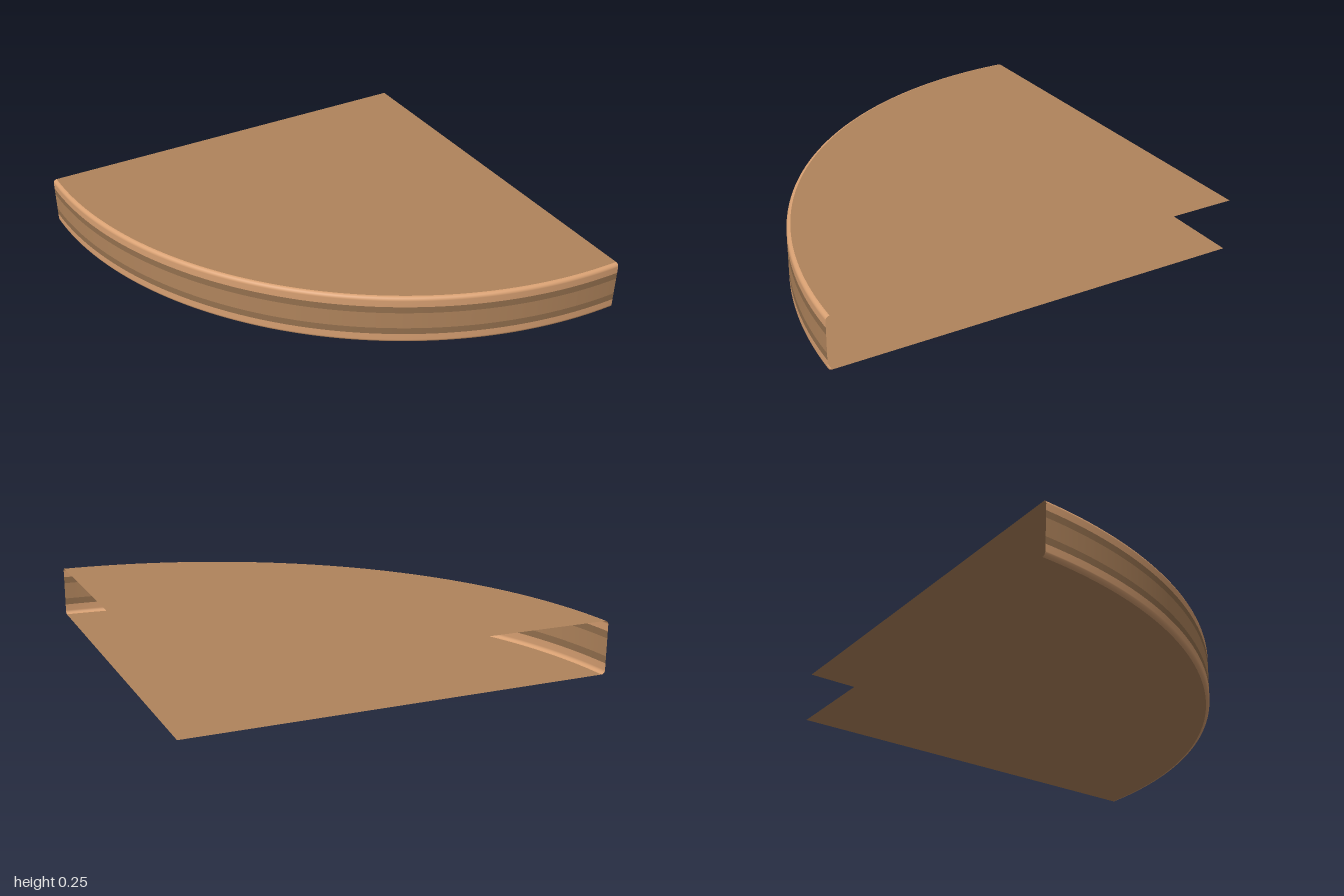
import * as THREE from 'three';

const R = 2;       // radius of the quarter disc
const H = 0.25;    // thickness
const F = 0.018;   // rounding of the rim edges

const material = (color) => new THREE.MeshStandardMaterial({ color, side: THREE.DoubleSide });
const wood = material(0xb0845c);
const lightWood = material(0xd8a072);
const darkWood = material(0x94704e);

// Revolves a [radius, height] profile through a quarter turn
function quarter(name, profile, mat) {
  const points = profile.map(([r, y]) => new THREE.Vector2(r, y));
  const geometry = new THREE.LatheGeometry(points, 96, Math.PI * 1.5, Math.PI / 2);
  const mesh = new THREE.Mesh(geometry, mat);
  mesh.name = name;
  return mesh;
}

// Rounded rim: quarter arc from the flat face out to the vertical wall
function rimProfile(wallY) {
  const arc = [];
  for (let i = 0; i <= 6; i++) {
    const a = (i / 6) * Math.PI / 2;
    arc.push([R - F + F * Math.sin(a), F - F * Math.cos(a)]);
  }
  return [...arc, [R, wallY]];
}

export function createModel() {
  const model = new THREE.Group();
  model.name = 'quarterRoundPanel';

  // Flat faces
  model.add(quarter('bottomFace', [[0, 0], [R - F, 0]], wood));
  model.add(quarter('topFace', [[R - F, H], [0, H]], wood));

  // Light rounded rims, mirrored about the middle
  const rim = rimProfile(0.05);
  model.add(quarter('bottomRim', rim, lightWood));
  model.add(quarter('topRim', rim.map(([r, y]) => [r, H - y]).reverse(), lightWood));

  // Dark stripes either side of the middle band
  model.add(quarter('lowerStripe', [[R, 0.05], [R, 0.083]], darkWood));
  model.add(quarter('middleBand', [[R, 0.083], [R, 0.167]], wood));
  model.add(quarter('upperStripe', [[R, 0.167], [R, 0.2]], darkWood));

  // The sharp corner sits at the back left; the two straight sides are open
  for (const part of model.children) part.position.set(1, 0, -1);
  return model;
}
